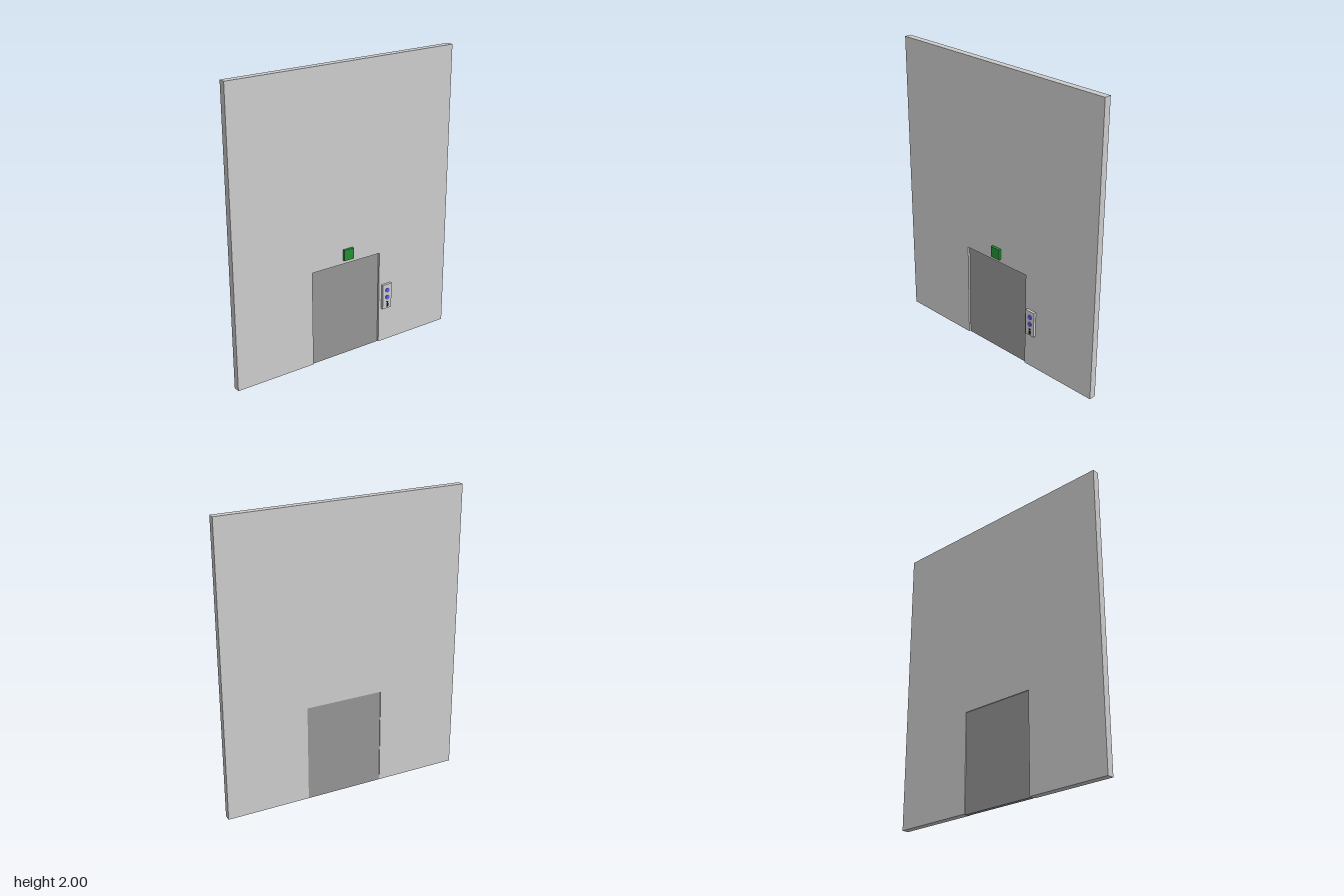
import * as THREE from 'three';

const material = (color) => new THREE.MeshStandardMaterial({ color });

export function createModel() {
  const model = new THREE.Group();
  model.name = 'liftDoorWall';
  const grey = material(0xcccccc);
  const doorGrey = material(0x949494);
  const green = material(0x258f35);
  const blue = material(0x5c5ce8);
  const black = material(0x111111);

  const add = (name, geometry, mat, x = 0, y = 0, z = 0) => {
    const mesh = new THREE.Mesh(geometry, mat);
    mesh.name = name;
    mesh.position.set(x, y, z);
    model.add(mesh);
    return mesh;
  };
  // box given by its limits on each axis
  const box = (name, mat, [x0, x1], [y0, y1], [z0, z1]) =>
    add(name, new THREE.BoxGeometry(x1 - x0, y1 - y0, z1 - z0), mat,
      (x0 + x1) / 2, (y0 + y1) / 2, (z0 + z1) / 2);

  // wall slab with a doorway notched out of its lower edge
  const back = -0.036, front = 0.011, base = 0.004;
  const outline = new THREE.Shape([
    [-0.835, base], [-0.267, base], [-0.267, 0.67], [0.267, 0.67],
    [0.267, base], [0.835, base], [0.835, 2], [-0.835, 2],
  ].map(([u, v]) => new THREE.Vector2(u, v)));
  const wall = new THREE.ExtrudeGeometry(outline, { depth: front - back, bevelEnabled: false });
  wall.rotateY(Math.PI / 2);
  add('wall', wall, grey, back);

  // door recessed in the opening
  box('door', doorGrey, [-0.03, -0.003], [0, 0.67], [-0.267, 0.267]);

  // floor sign above the door
  box('floorSign', green, [front, 0.029], [0.697, 0.772], [-0.045, 0.03]);

  // call panel with two round buttons and a key switch
  const face = 0.029;
  box('callPanel', grey, [front, face], [0.252, 0.432], [-0.36, -0.288]);
  for (const [name, y] of [['upButton', 0.388], ['downButton', 0.336]]) {
    const disc = new THREE.CylinderGeometry(0.016, 0.016, 0.006, 32);
    disc.rotateZ(-Math.PI / 2);
    add(name, disc, blue, face + 0.002, y, -0.325);
  }
  box('keySlot', black, [face - 0.002, face + 0.003], [0.263, 0.287], [-0.333, -0.319]);
  const keyHole = new THREE.CylinderGeometry(0.007, 0.007, 0.005, 20);
  keyHole.rotateZ(-Math.PI / 2);
  add('keyHole', keyHole, black, face + 0.0005, 0.299, -0.326);

  return model;
}
